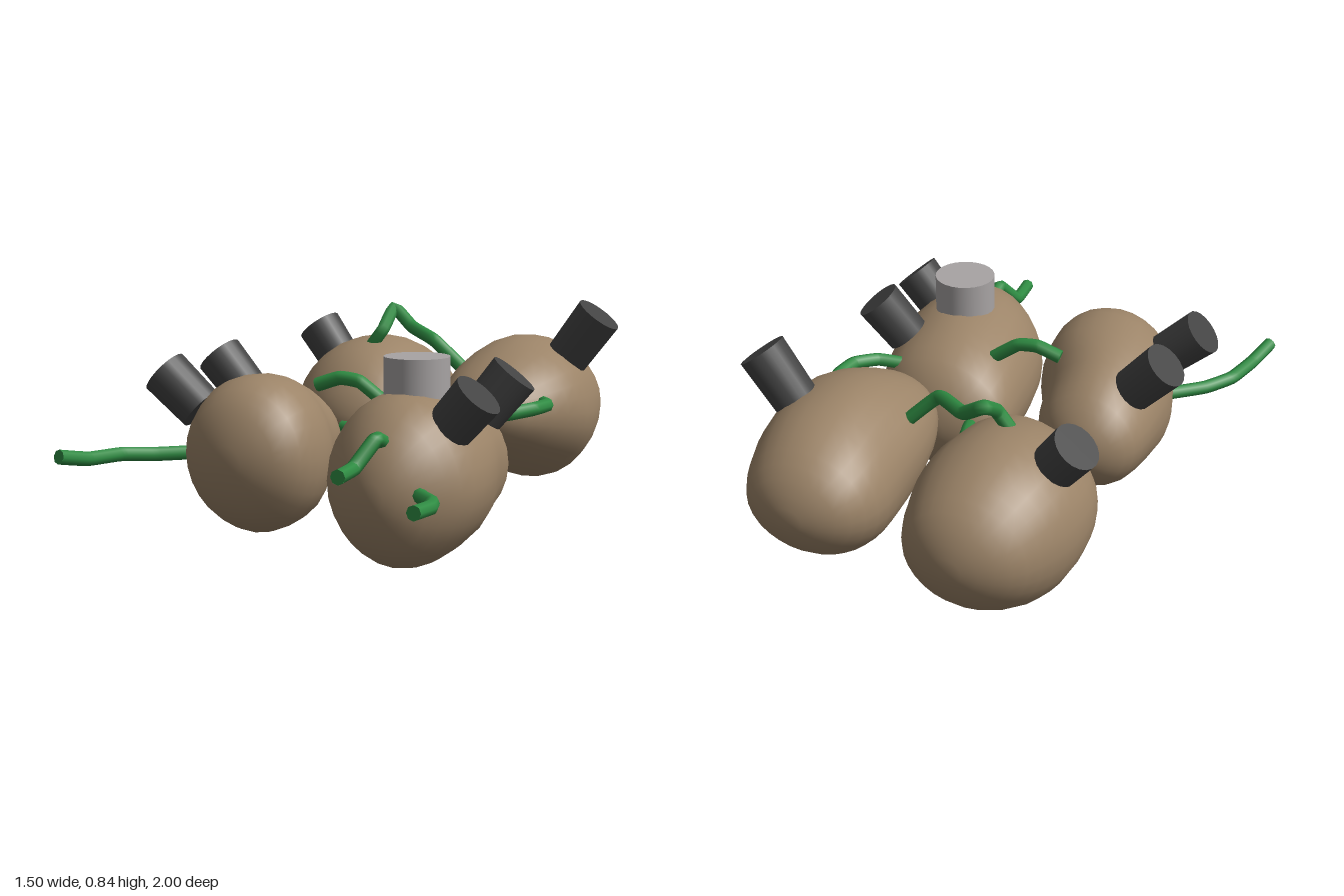
import * as THREE from 'three';
import { mergeVertices } from 'three/addons/utils/BufferGeometryUtils.js';

const mat = (name, color, side = THREE.FrontSide) => {
  const m = new THREE.MeshStandardMaterial({ color, side });
  m.name = name;
  return m;
};

// Lumpy potato: a sphere fitted to sections [z, xMin, xMax, yMin, yMax] between two tips
function potatoGeometry(zBack, zFront, sections, seed) {
  const zc = (zBack + zFront) / 2, half = (zFront - zBack) / 2;
  const angles = [], values = [];
  for (const [z, x0, x1, y0, y1] of sections) {
    const a = Math.acos(-(z - zc) / half), s = Math.sin(a);
    angles.push(a);
    values.push((x0 + x1) / 2, (x1 - x0) / 2 / s, (y0 + y1) / 2, (y1 - y0) / 2 / s);
  }
  const fit = new THREE.CubicInterpolant(angles, values, 4, new Float32Array(4));
  let g = new THREE.SphereGeometry(1, 28, 20).rotateX(Math.PI / 2);
  g.deleteAttribute('uv');
  g.deleteAttribute('normal');
  g = mergeVertices(g);
  const p = g.attributes.position;
  for (let i = 0; i < p.count; i++) {
    const x = p.getX(i), y = p.getY(i), z = p.getZ(i);
    const [cx, kx, cy, ky] = fit.evaluate(Math.acos(THREE.MathUtils.clamp(-z, -1, 1)));
    const lump = 1 + 0.018 * Math.sin(4 * x + seed) * Math.sin(5 * y + 2 * seed) * Math.cos(4 * z + seed);
    p.setXYZ(i, cx + x * kx * lump, cy + y * ky * lump, zc + z * half);
  }
  g.computeVertexNormals();
  return g;
}

export function createModel() {
  const group = new THREE.Group();
  const skin = mat('potato skin', 0x9c8468);
  const dark = mat('dark metal', 0x434343);
  const light = mat('light metal', 0xa8a4a4);
  const green = mat('green wire', 0x2f8c43, THREE.DoubleSide);
  const add = (name, geometry, material) => {
    const m = new THREE.Mesh(geometry, material);
    m.name = name;
    group.add(m);
    return m;
  };

  // Potatoes
  add('frontLeftPotato', potatoGeometry(-0.09, 0.8, [
    [0, 0.03, 0.52, 0.09, 0.5], [0.2, 0.015, 0.6, 0.04, 0.58], [0.4, 0.045, 0.645, 0.01, 0.6],
    [0.6, 0.11, 0.625, 0.015, 0.58], [0.72, 0.2, 0.54, 0.08, 0.49]], 1), skin);
  add('frontRightPotato', potatoGeometry(-0.07, 0.73, [
    [0, -0.49, -0.16, 0.17, 0.48], [0.2, -0.535, -0.075, 0.08, 0.58], [0.4, -0.53, 0.02, 0.05, 0.62],
    [0.55, -0.48, 0.03, 0.07, 0.62], [0.67, -0.41, -0.03, 0.16, 0.54]], 2), skin);
  add('backLeftPotato', potatoGeometry(-1, -0.07, [
    [-0.95, 0.17, 0.51, 0.28, 0.55], [-0.8, 0.085, 0.61, 0.17, 0.65], [-0.6, 0.09, 0.66, 0.125, 0.69],
    [-0.4, 0.105, 0.67, 0.18, 0.67], [-0.2, 0.17, 0.58, 0.28, 0.59]], 3), skin);
  add('backRightPotato', potatoGeometry(-0.96, -0.12, [
    [-0.9, -0.43, -0.06, 0.2, 0.52], [-0.8, -0.51, 0, 0.11, 0.6], [-0.6, -0.57, 0.045, 0.05, 0.66],
    [-0.4, -0.555, 0.04, 0.08, 0.64], [-0.2, -0.4, 0, 0.19, 0.52]], 4), skin);

  // Dark pegs, each from a base centre to a cap centre
  const up = new THREE.Vector3(0, 1, 0);
  [
    [[0.55, 0.615, -0.565], [0.675, 0.785, -0.57]],
    [[0.52, 0.5, 0.22], [0.63, 0.645, 0.185]],
    [[0.535, 0.495, 0.525], [0.64, 0.615, 0.525]],
    [[-0.45, 0.49, 0.51], [-0.595, 0.62, 0.525]],
    [[-0.45, 0.51, 0.18], [-0.575, 0.645, 0.18]],
    [[-0.42, 0.55, -0.53], [-0.53, 0.69, -0.54]],
  ].forEach(([a, b], i) => {
    const base = new THREE.Vector3(...a), cap = new THREE.Vector3(...b);
    const axis = cap.clone().sub(base);
    const peg = add(`peg${i + 1}`, new THREE.CylinderGeometry(0.09, 0.084, axis.length(), 20), dark);
    peg.position.copy(base).add(cap).multiplyScalar(0.5);
    peg.quaternion.setFromUnitVectors(up, axis.normalize());
  });

  // Upright light post
  add('lightPost', new THREE.CylinderGeometry(0.116, 0.116, 0.235, 24), light).position.set(0.355, 0.598, 0.4);

  // Bent wires with closed ends
  const radius = 0.026;
  [
    [[-0.47, 0.33, 0.5], [-0.59, 0.33, 0.61], [-0.665, 0.34, 0.71], [-0.7, 0.345, 0.86], [-0.73, 0.37, 0.99]],
    [[0.5, 0.305, 0.71], [0.54, 0.3, 0.75], [0.6, 0.3, 0.81], [0.625, 0.3, 0.88], [0.625, 0.305, 1]],
    [[0.38, 0.46, 0.7], [0.385, 0.485, 0.78], [0.345, 0.4, 0.86], [0.36, 0.395, 1]],
    [[-0.14, 0.56, 0.21], [-0.05, 0.59, 0.2], [0.03, 0.58, 0.195], [0.14, 0.5, 0.185]],
    [[-0.21, 0.35, -0.13], [-0.1, 0.34, -0.1], [0, 0.37, -0.19], [0.07, 0.37, -0.17], [0.12, 0.33, -0.04]],
    [[-0.245, 0.63, -0.45], [-0.195, 0.7, -0.46], [-0.2, 0.775, -0.57], [-0.1, 0.705, -0.53],
      [0.05, 0.67, -0.415], [0.165, 0.56, -0.44]],
    [[0.57, 0.48, -0.25], [0.62, 0.485, -0.16], [0.61, 0.485, -0.05], [0.55, 0.475, 0.03], [0.46, 0.46, 0.07]],
  ].forEach((points, i) => {
    const curve = new THREE.CatmullRomCurve3(points.map((q) => new THREE.Vector3(...q)), false, 'catmullrom', 0.2);
    add(`wire${i + 1}`, new THREE.TubeGeometry(curve, 32, radius, 8), green);
    for (const t of [0, 1]) {
      const end = add(`wire${i + 1}End`, new THREE.CircleGeometry(radius, 8), green);
      end.position.copy(curve.getPointAt(t));
      end.lookAt(end.position.clone().addScaledVector(curve.getTangentAt(t), t ? 1 : -1));
    }
  });

  return group;
}
